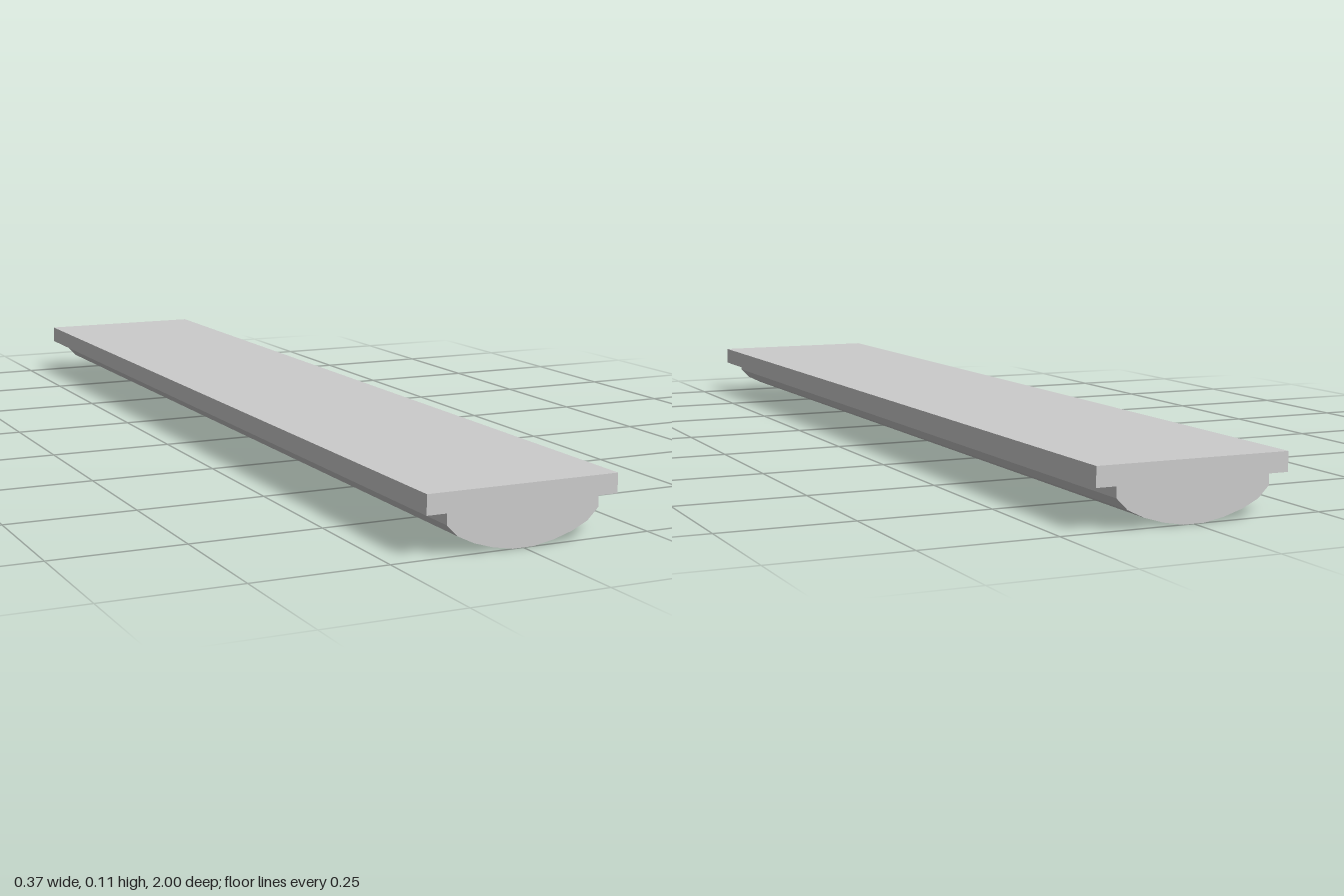
import * as THREE from 'three';

const LENGTH = 2;

// Right half of the cross-section, from the belly up to the top edge
const HALF_PROFILE = [
  [0.02, 0], [0.059, 0.007], [0.095, 0.018], [0.126, 0.033],
  [0.147, 0.054], [0.147, 0.074], [0.185, 0.074], [0.185, 0.11],
];

export function createModel() {
  const group = new THREE.Group();
  group.name = 'mouldingStrip';

  // Mirror the half profile into a closed section
  const right = HALF_PROFILE.map(([x, y]) => new THREE.Vector2(x, y));
  const left = HALF_PROFILE.map(([x, y]) => new THREE.Vector2(-x, y)).reverse();
  const section = new THREE.Shape([...right, ...left]);

  // Flat board with a faceted, rounded belly, run along z
  const geometry = new THREE.ExtrudeGeometry(section, { depth: LENGTH, bevelEnabled: false });
  geometry.translate(0, 0, -LENGTH / 2);

  const material = new THREE.MeshStandardMaterial({ color: 0xcccccc, flatShading: true });
  const strip = new THREE.Mesh(geometry, material);
  strip.name = 'strip';
  group.add(strip);

  return group;
}
